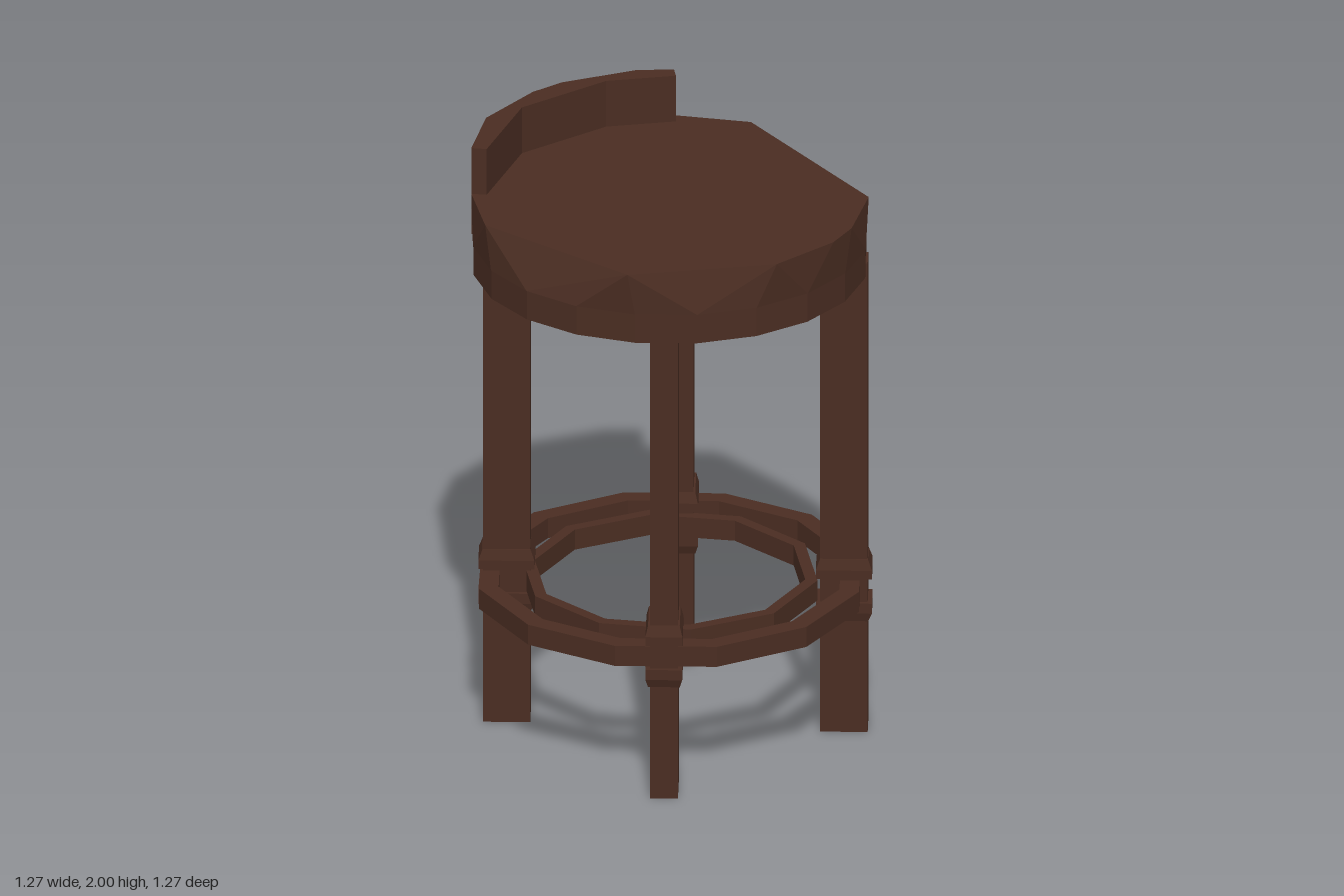
import * as THREE from 'three';
import { ConvexGeometry } from 'three/addons/geometries/ConvexGeometry.js';

const wood = new THREE.MeshStandardMaterial({ color: 0x4a2d22, flatShading: true });
wood.name = 'dark wood';

function part(name, geometry, parent) {
  const mesh = new THREE.Mesh(geometry, wood);
  mesh.name = name;
  parent.add(mesh);
  return mesh;
}

// Faceted band with a rectangular section
function band(inner, outer, y0, y1, sides) {
  const section = [[inner, y0], [outer, y0], [outer, y1], [inner, y1], [inner, y0]];
  return new THREE.LatheGeometry(section.map(([r, y]) => new THREE.Vector2(r, y)), sides);
}

// Four-sided collar of the given profile: [scale, y] pairs from bottom to top
function collar(profile, width, depth) {
  const points = profile.map(([s, y]) => new THREE.Vector2(s * Math.SQRT1_2, y));
  const geometry = new THREE.LatheGeometry(points, 4, Math.PI / 4);
  return geometry.scale(width, 1, depth);
}

export function createModel() {
  const stool = new THREE.Group();
  stool.name = 'stool';

  // Seat: irregular faceted top over a rounder base
  const topOutline = [
    [0.59, -0.24], [0.45, -0.45], [0.12, -0.62], [-0.25, -0.59], [-0.45, -0.45], [-0.59, -0.24],
    [-0.535, 0.36], [-0.13, 0.63], [0.12, 0.63], [0.24, 0.59], [0.45, 0.45],
  ];
  const seatPoints = topOutline.map(([x, z]) => new THREE.Vector3(x, 1.84, z));
  for (let i = 0; i < 20; i++) {
    const a = (i / 20) * Math.PI * 2;
    seatPoints.push(new THREE.Vector3(Math.cos(a) * 0.637, 1.7, Math.sin(a) * 0.637));
  }
  part('seat', new ConvexGeometry(seatPoints), stool);

  // Hollow frame under the seat
  part('seatApron', band(0.58, 0.635, 1.6, 1.7, 20), stool);
  part('seatInnerRing', band(0.45, 0.5, 1.65, 1.7, 12), stool);

  // Low curved backrest
  const backOutline = [
    [-0.45, -0.45], [-0.25, -0.59], [0, -0.635], [0.12, -0.625], [0.36, -0.53], [0.45, -0.45],
    [0.42, -0.41], [0.23, -0.535], [-0.11, -0.57], [-0.42, -0.41],
  ];
  const backShape = new THREE.Shape(backOutline.map(([x, z]) => new THREE.Vector2(x, -z)));
  const backGeometry = new THREE.ExtrudeGeometry(backShape, { depth: 0.3, bevelEnabled: false });
  backGeometry.rotateX(-Math.PI / 2).translate(0, 1.7, 0);
  part('backrest', backGeometry, stool);

  // Footrest bands
  part('footrestOuterBand', band(0.565, 0.63, 0.46, 0.53, 12), stool);
  part('footrestInnerBand', band(0.44, 0.48, 0.46, 0.53, 10), stool);

  // Legs, wider along the radius than across it, with collars at the footrest
  const legs = [
    ['frontLeftLeg', 0.375, 0.415], ['frontRightLeg', -0.385, 0.375],
    ['backLeftLeg', 0.385, -0.355], ['backRightLeg', -0.35, -0.39],
  ];
  for (const [name, x, z] of legs) {
    const leg = new THREE.Group();
    leg.name = name;
    leg.position.set(x, 0, z);
    leg.rotation.y = -Math.atan2(Math.sign(z), Math.sign(x));
    part('post', new THREE.BoxGeometry(0.152, 1.64, 0.09).translate(0, 0.82, 0), leg);
    part('upperCollar', collar([[0, 0.54], [1, 0.54], [1, 0.57], [0.86, 0.605], [0, 0.605]], 0.18, 0.118), leg);
    part('lowerCollar', collar([[0, 0.39], [0.86, 0.39], [1, 0.42], [1, 0.455], [0, 0.455]], 0.18, 0.118), leg);
    stool.add(leg);
  }
  return stool;
}
